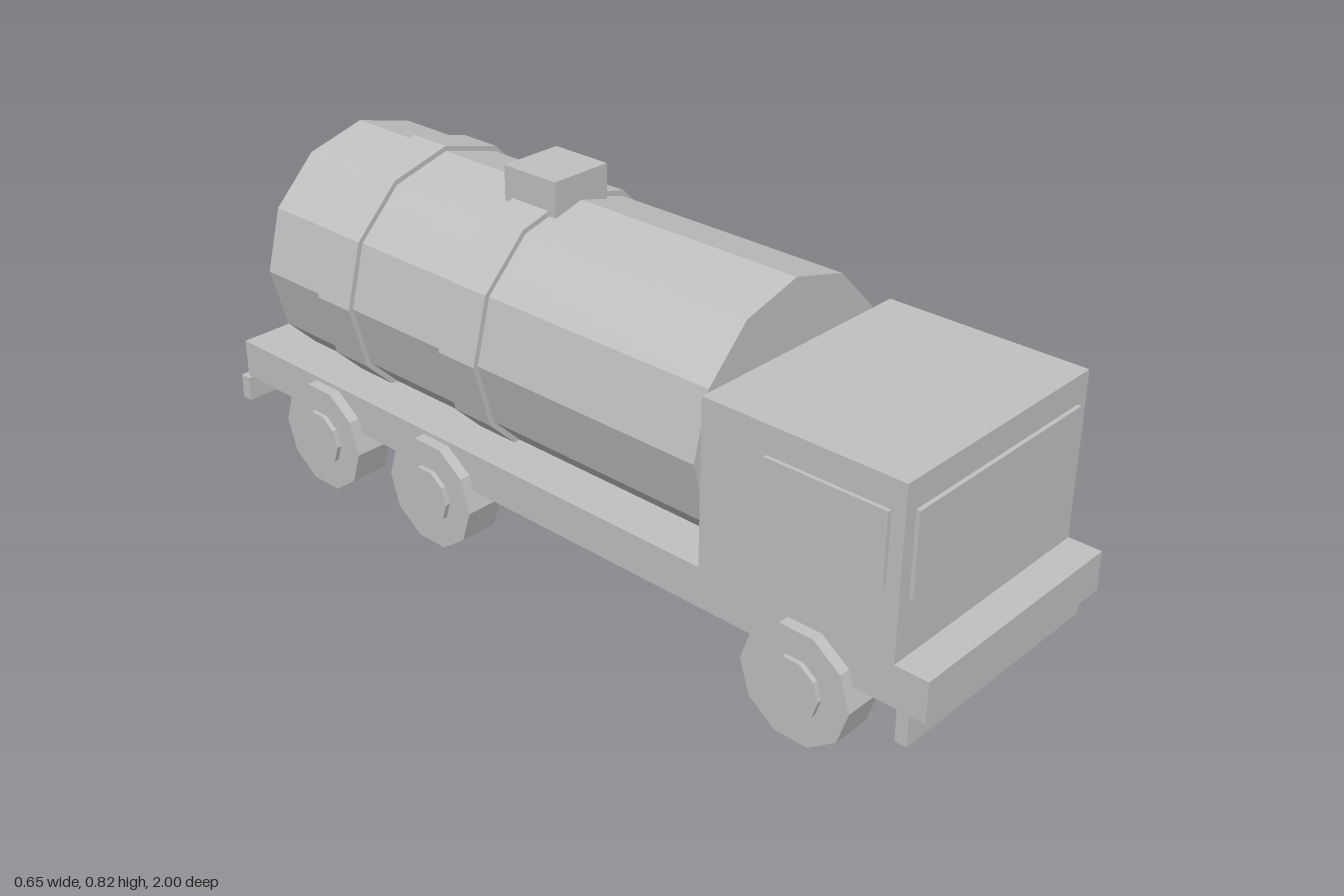
import * as THREE from 'three';

export function createModel() {
  const truck = new THREE.Group();
  truck.name = 'tankerTruck';
  const grey = new THREE.MeshStandardMaterial({ color: 0xc0c0c0 });
  grey.name = 'light grey';
  grey.flatShading = true;

  const add = (name, geometry, x = 0, y = 0, z = 0) => {
    const mesh = new THREE.Mesh(geometry, grey);
    mesh.name = name;
    mesh.position.set(x, y, z);
    truck.add(mesh);
    return mesh;
  };
  // Box given by its lower and upper limits on each axis
  const box = (name, [x0, x1], [y0, y1], [z0, z1]) =>
    add(name, new THREE.BoxGeometry(x1 - x0, y1 - y0, z1 - z0),
      (x0 + x1) / 2, (y0 + y1) / 2, (z0 + z1) / 2);
  // Twelve-sided drum lying along z
  const drum = (name, radius, z0, z1) =>
    add(name, new THREE.CylinderGeometry(radius, radius, z1 - z0, 12).rotateX(Math.PI / 2),
      0, 0.475, (z0 + z1) / 2);
  // Ten-sided disc lying along x
  const disc = (name, radius, x0, x1, z) =>
    add(name, new THREE.CylinderGeometry(radius, radius, x1 - x0, 10).rotateZ(Math.PI / 2),
      (x0 + x1) / 2, 0.123, z);

  // Chassis and bumpers
  box('chassis', [-0.29, 0.29], [0.165, 0.256], [-0.97, 1]);
  box('frontBumper', [-0.29, 0.29], [0.095, 0.165], [0.938, 0.965]);
  box('rearBumper', [-0.29, 0.29], [0.095, 0.155], [-1, -0.972]);
  box('rearPlate', [-0.26, 0.26], [0.145, 0.218], [-0.982, -0.955]);

  // Cab with raised window panels
  box('cab', [-0.29, 0.29], [0.256, 0.627], [0.465, 0.925]);
  box('windscreen', [-0.26, 0.26], [0.38, 0.564], [0.925, 0.934]);
  box('leftWindow', [0.29, 0.299], [0.412, 0.564], [0.62, 0.895]);
  box('rightWindow', [-0.299, -0.29], [0.412, 0.564], [0.62, 0.895]);

  // Tank, straps and hatch
  drum('tank', 0.29, -0.845, 0.448);
  drum('middleStrap', 0.302, -0.252, -0.145);
  drum('rearStrap', 0.302, -0.653, -0.547);
  box('hatch', [-0.077, 0.077], [0.745, 0.825], [-0.275, -0.125]);

  // Three axles of wheels with hubs
  for (const z of [0.725, -0.29, -0.66]) {
    disc('leftWheel', 0.129, 0.225, 0.316, z);
    disc('leftHub', 0.066, 0.31, 0.327, z);
    disc('rightWheel', 0.129, -0.316, -0.225, z);
    disc('rightHub', 0.066, -0.327, -0.31, z);
  }
  return truck;
}
